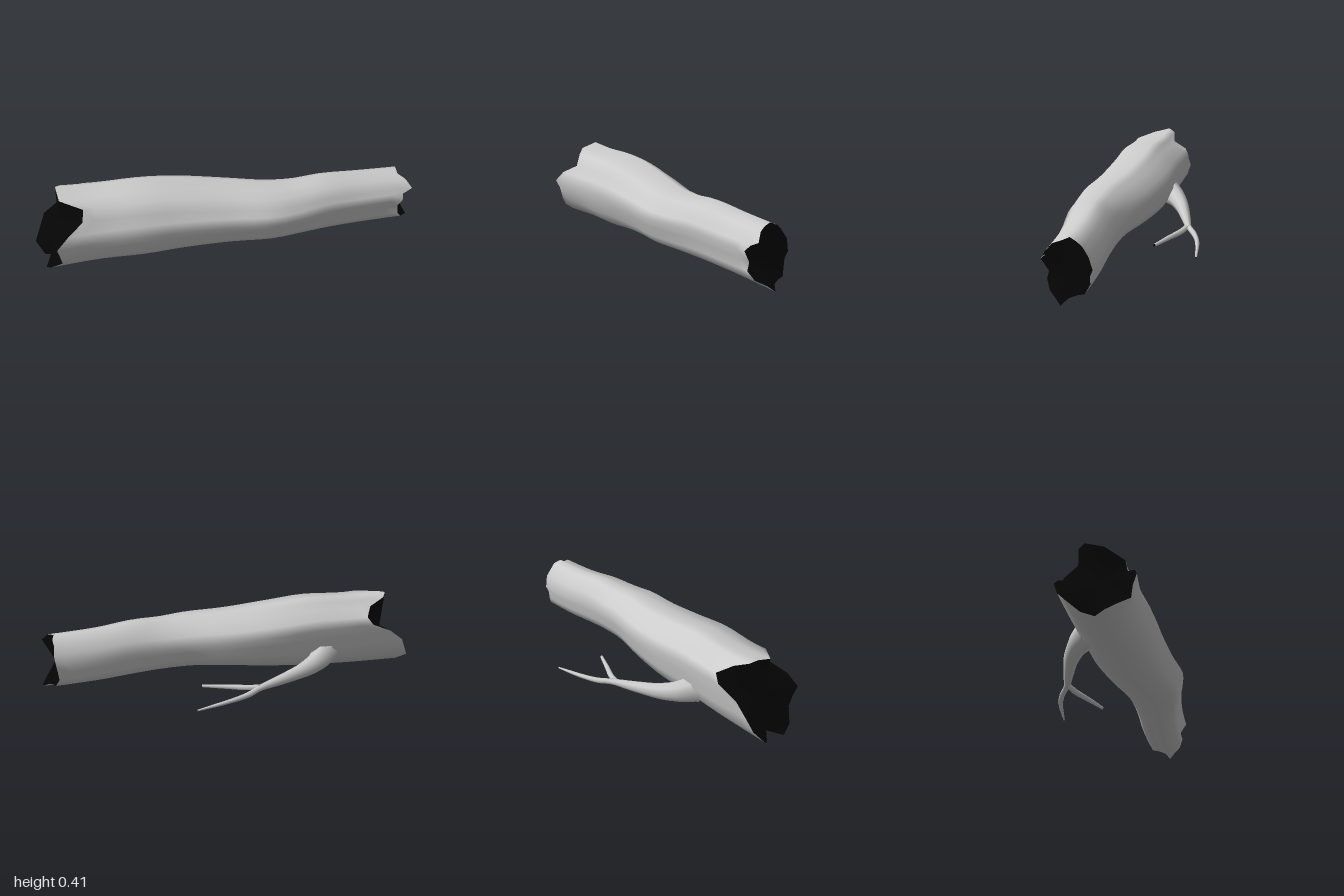
import * as THREE from 'three';

const bark = new THREE.MeshStandardMaterial({ color: 0xcccccc });
const dark = new THREE.MeshStandardMaterial({ color: 0x050505, side: THREE.DoubleSide });

// Broken ends of the trunk as [x, y, z], running from the top round over the back
const endA = [
  [-.87, .425, .055], [-.85, .41, .02], [-.77, .375, 0], [-.73, .345, -.08], [-.76, .3, -.09],
  [-.87, .24, -.07], [-.94, .18, -.07], [-.97, .11, -.045], [-1, .055, 0], [-.96, .01, .06],
  [-.88, .025, .11], [-.96, .01, .17], [-.94, .045, .225], [-.88, .1, .28], [-.89, .16, .29],
  [-.9, .21, .31], [-.84, .27, .295], [-.76, .32, .25], [-.75, .39, .235], [-.86, .4, .15]];
const endB = [
  [.92, .305, .105], [.93, .29, .07], [.925, .265, .045], [.93, .22, .015], [.92, .155, 0],
  [.915, .12, .015], [.91, .08, .015], [.93, .04, .035], [.94, .035, .07], [.96, .025, .105],
  [1, .005, .13], [.98, .03, .16], [.94, .05, .2], [.91, .09, .22], [.91, .13, .21],
  [.92, .19, .245], [.93, .215, .22], [.98, .24, .215], [.95, .28, .18], [.92, .29, .135]];

// Trunk outline along x: [x, bottom, top, back, front]
const outline = [
  [-1, .01, .425, -.09, .31], [-.7, .01, .405, -.088, .285], [-.45, .01, .41, -.085, .3],
  [-.25, .02, .39, -.085, .302], [0, .032, .358, -.05, .315], [.2, .037, .34, -.005, .335],
  [.35, .035, .33, .008, .312], [.5, .025, .335, .01, .28], [.7, .015, .315, 0, .255],
  [1, .005, .3, 0, .24]];

// Smoothly interpolated outline at x
function outlineAt(x) {
  let k = 0;
  while (k < outline.length - 2 && x > outline[k + 1][0]) k++;
  const get = n => outline[Math.min(Math.max(n, 0), outline.length - 1)];
  const [p, a, b, q] = [get(k - 1), get(k), get(k + 1), get(k + 2)];
  const t = (x - a[0]) / (b[0] - a[0]), h = b[0] - a[0];
  return [1, 2, 3, 4].map(c => {
    const m0 = (b[c] - p[c]) / (b[0] - p[0]) * h, m1 = (q[c] - a[c]) / (q[0] - a[0]) * h;
    const d = a[c] - b[c];
    return a[c] + m0 * t + (-3 * d - 2 * m0 - m1) * t * t + (2 * d + m0 + m1) * t * t * t;
  });
}

// End points scaled to a -1..1 box, keeping the ridges
function normalise(ring) {
  const range = c => {
    const v = ring.map(p => p[c]);
    return [Math.min(...v), Math.max(...v)];
  };
  const [y0, y1] = range(1), [z0, z1] = range(2);
  return ring.map(p => [(2 * p[1] - y0 - y1) / (y1 - y0), (2 * p[2] - z0 - z1) / (z1 - z0)]);
}

function makeGeometry(positions, index) {
  const g = new THREE.BufferGeometry();
  g.setAttribute('position', new THREE.Float32BufferAttribute(positions, 3));
  g.setIndex(index);
  g.computeVertexNormals();
  return g;
}

function addMesh(group, name, geometry, material) {
  const mesh = new THREE.Mesh(geometry, material);
  mesh.name = name;
  group.add(mesh);
  return mesh;
}

// Ridged bark lofted between the two broken ends
function trunkRings(steps) {
  const a = normalise(endA), b = normalise(endB), rings = [];
  for (let i = 0; i <= steps; i++) {
    const t = i / steps;
    rings.push(a.map((p, j) => {
      const x = THREE.MathUtils.lerp(endA[j][0], endB[j][0], t);
      const [y0, y1, z0, z1] = outlineAt(x);
      const v = THREE.MathUtils.lerp(p[0], b[j][0], t), u = THREE.MathUtils.lerp(p[1], b[j][1], t);
      return [x, (y0 + y1) / 2 + v * (y1 - y0) / 2, (z0 + z1) / 2 + u * (z1 - z0) / 2];
    }));
  }
  return rings;
}

function loft(rings) {
  const n = rings[0].length, index = [];
  for (let i = 0; i < rings.length - 1; i++) {
    for (let j = 0; j < n; j++) {
      const a = i * n + j, b = i * n + (j + 1) % n;
      index.push(a, a + n, b, b, a + n, b + n);
    }
  }
  return makeGeometry(rings.flat(2), index);
}

// Dark fan closing a jagged end
function endCap(ring, centre, flip) {
  const n = ring.length, index = [];
  for (let j = 0; j < n; j++) {
    const k = (j + 1) % n;
    index.push(n, flip ? k : j, flip ? j : k);
  }
  return makeGeometry([...ring, centre].flat(), index);
}

// Tapered tube with a dark cut tip
function addBranch(group, name, points, radii) {
  const curve = new THREE.CatmullRomCurve3(points.map(p => new THREE.Vector3(...p)), false, 'centripetal');
  const segs = 20, sides = 8;
  const g = new THREE.TubeGeometry(curve, segs, 1, sides, false);
  const pos = g.attributes.position, v = new THREE.Vector3();
  for (let i = 0; i < pos.count; i++) {
    const t = Math.floor(i / (sides + 1)) / segs;
    const s = t * (radii.length - 1), k = Math.min(Math.floor(s), radii.length - 2);
    const r = THREE.MathUtils.lerp(radii[k], radii[k + 1], s - k);
    const c = curve.getPointAt(t);
    v.fromBufferAttribute(pos, i).sub(c).multiplyScalar(r).add(c);
    pos.setXYZ(i, v.x, v.y, v.z);
  }
  addMesh(group, name, g, bark);
  const tip = addMesh(group, name + 'Tip', new THREE.CircleGeometry(radii[radii.length - 1], sides), dark);
  tip.position.copy(curve.getPointAt(1));
  tip.lookAt(tip.position.clone().add(curve.getTangentAt(1)));
}

export function createModel() {
  const model = new THREE.Group();
  model.name = 'fallenLog';

  // Trunk and hollow ends
  const rings = trunkRings(28);
  addMesh(model, 'trunk', loft(rings), bark);
  addMesh(model, 'wideEnd', endCap(rings[0], [-.87, .2, .1], false), dark);
  addMesh(model, 'narrowEnd', endCap(rings[rings.length - 1], [.92, .15, .12], true), dark);

  // Forked branch at the back
  const branch = new THREE.Group();
  branch.name = 'branch';
  addBranch(branch, 'limb',
    [[-.52, .13, -.01], [-.46, .105, -.08], [-.38, .085, -.13], [-.25, .065, -.18], [-.1, .046, -.23]],
    [.075, .05, .036, .026, .015]);
  addBranch(branch, 'longTwig',
    [[-.13, .048, -.222], [-.09, .045, -.24], [-.03, .036, -.275], [.07, .028, -.31], [.25, .008, -.34]],
    [.015, .015, .012, .009, .004]);
  addBranch(branch, 'shortTwig',
    [[-.13, .047, -.22], [-.05, .04, -.2], [.06, .036, -.155], [.18, .031, -.107]],
    [.014, .015, .012, .008]);
  model.add(branch);
  return model;
}
